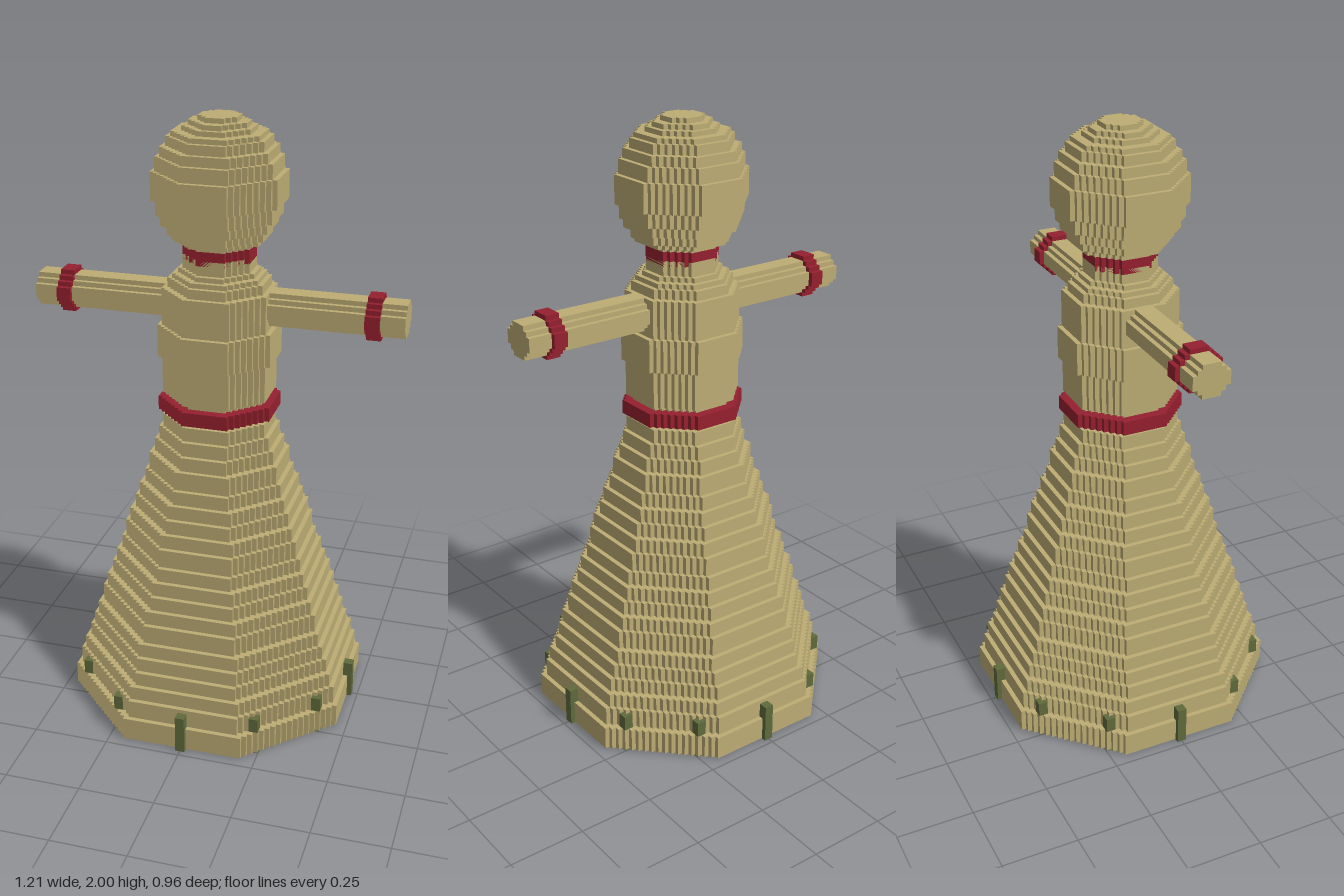
import * as THREE from 'three';
import { mergeGeometries } from 'three/addons/utils/BufferGeometryUtils.js';

const V = 2 / 129; // block size

// Stair-stepped octagon of half-width r blocks; trim shortens it along its second axis
function octagon(r, trim = 0) {
  const c = Math.floor(0.43 * r + 0.3);
  const quarter = [[r, c]];
  for (let k = 1; k <= r - c; k++) quarter.push([r - k, c + k - 1], [r - k, c + k]);
  const points = [];
  for (const [sx, sy] of [[1, 1], [-1, 1], [-1, -1], [1, -1]]) {
    const side = quarter.map(([x, y]) => new THREE.Vector2(sx * x * V, sy * (y - trim) * V));
    points.push(...(sx * sy > 0 ? side : side.reverse()));
  }
  return new THREE.Shape(points);
}

function prism(r, length, trim) {
  return new THREE.ExtrudeGeometry(octagon(r, trim), { depth: length * V, bevelEnabled: false });
}

// Horizontal slab between two layer numbers
function slab(r, from, to) {
  return prism(r, to - from).rotateX(-Math.PI / 2).translate(0, from * V, 0);
}

// Stacked slabs whose half-width follows a rule; equal layers are joined
function stack(from, to, radius) {
  const slabs = [];
  for (let i = from; i < to;) {
    let j = i + 1;
    while (j < to && radius(j) === radius(i)) j++;
    slabs.push(slab(radius(i), i, j));
    i = j;
  }
  return mergeGeometries(slabs);
}

export function createModel() {
  const model = new THREE.Group();
  const material = (name, color) => {
    const m = new THREE.MeshStandardMaterial({ color });
    m.name = name;
    return m;
  };
  const tan = material('tan', 0xbdad74);
  const red = material('crimson', 0x96202f);
  const green = material('moss green', 0x606b3c);
  const add = (name, geometry, mat) => {
    const mesh = new THREE.Mesh(geometry, mat);
    mesh.name = name;
    model.add(mesh);
    return mesh;
  };

  // Skirt: straight foot, then an even taper to the waist
  const skirt = stack(0, 67, i => (i < 5 ? 30 : 29 - Math.floor((i - 5) / 3.2)));
  add('skirt', skirt.translate(0, 0.002, 0), tan);

  // Torso, widest at the chest and rounded at the shoulders
  const steps = [[71, 10], [79, 11], [86, 12], [94, 11], [96, 10], [97, 9], [98, 8], [101, 7]];
  add('torso', stack(66, 101, i => steps.find(s => i < s[0])[1]), tan);

  // Head
  add('head', stack(103, 129, i =>
    Math.floor(13.4 * Math.sqrt(1 - ((i + 0.5 - 115) / 14.3) ** 2))), tan);

  // Bands round the waist and neck
  add('belt', slab(12, 67, 70), red);
  add('collar', slab(7, 100, 103), red);

  // Arms and cuffs
  for (const [side, s] of [['left', 1], ['right', -1]]) {
    const along = (r, a, b) => prism(r, b - a, 0.5)
      .rotateY(Math.PI / 2)
      .translate((s > 0 ? a : -b) * V, 90.5 * V, 0);
    add(side + 'Arm', along(4, 8, 39), tan);
    add(side + 'Cuff', along(5, 31, 34), red);
  }

  // Twelve pegs round the hem
  const peg = new THREE.BoxGeometry(1.98 * V, 8.3 * V, 1.98 * V).translate(0, 4.15 * V, 0);
  for (let k = 0; k < 12; k++) {
    const a = (k * Math.PI) / 6;
    add('hemPeg', peg, green).position.set(
      Math.round(30 * Math.cos(a)) * V, 0, Math.round(30 * Math.sin(a)) * V);
  }
  return model;
}
